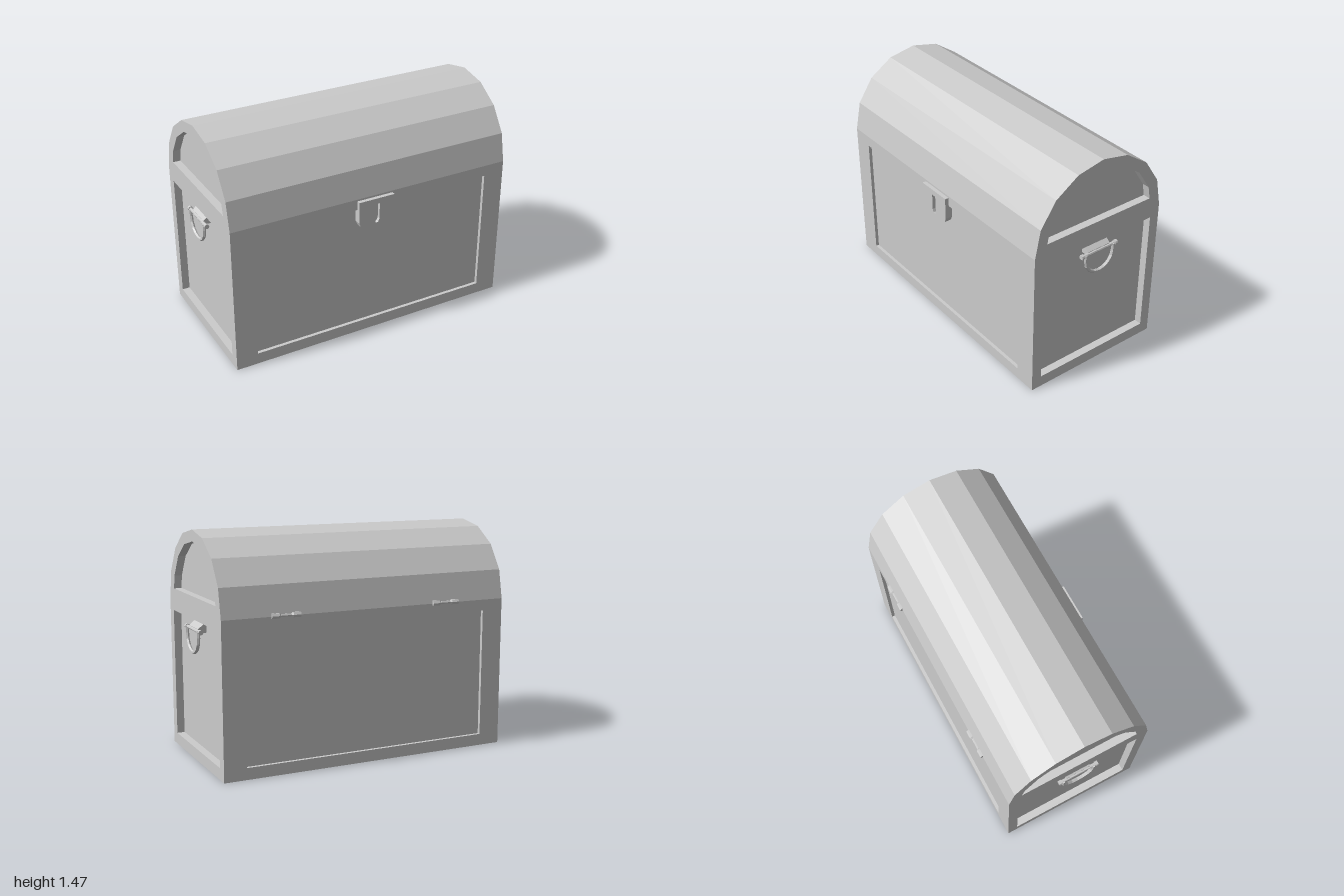
import * as THREE from 'three';
import { mergeGeometries } from 'three/addons/utils/BufferGeometryUtils.js';

const grey = new THREE.MeshStandardMaterial({ color: 0xcccccc, flatShading: true });
const HALF_X = 0.975, RADIUS = 0.488, RIM = 0.982, MID_Z = -0.006;

const vec = (list) => list.map(([x, y]) => new THREE.Vector2(x, y));
const rect = (x0, y0, x1, y1) => vec([[x0, y0], [x1, y0], [x1, y1], [x0, y1]]);

function add(parent, name, geometry, x = 0, y = 0, z = 0) {
  const mesh = new THREE.Mesh(geometry, grey);
  mesh.name = name;
  mesh.position.set(x, y, z);
  parent.add(mesh);
  return mesh;
}

// Half-circle points, from the right round to the left
const arc = (r, n = 8) => Array.from({ length: n + 1 }, (_, i) =>
  [r * Math.cos(i * Math.PI / n), RIM + r * Math.sin(i * Math.PI / n)]);

// Flat face (facing +z) with sunken panels; panels are counter-clockwise outlines
function panelledFace(outline, panels, depth) {
  const face = new THREE.Shape(outline);
  const parts = [];
  for (const panel of panels) {
    face.holes.push(new THREE.Path(panel));
    parts.push(new THREE.ShapeGeometry(new THREE.Shape(panel)).translate(0, 0, -depth).toNonIndexed());
    const walls = [];
    panel.forEach((a, i) => {
      const b = panel[(i + 1) % panel.length];
      walls.push(a.x, a.y, 0, b.x, b.y, 0, b.x, b.y, -depth);
      walls.push(a.x, a.y, 0, b.x, b.y, -depth, a.x, a.y, -depth);
    });
    const g = new THREE.BufferGeometry();
    g.setAttribute('position', new THREE.Float32BufferAttribute(walls, 3));
    parts.push(g);
  }
  parts.push(new THREE.ShapeGeometry(face).toNonIndexed());
  parts.forEach((g) => { g.deleteAttribute('uv'); g.computeVertexNormals(); });
  return mergeGeometries(parts);
}

function makeHandle() {
  const handle = new THREE.Group();
  // Sloping bracket rising out of the sunken side panel
  const bracket = new THREE.Shape(vec([[0.92, 0.84], [0.98, 0.84], [0.98, 0.866], [0.925, 0.91], [0.92, 0.91]]));
  add(handle, 'handleBracket', new THREE.ExtrudeGeometry(bracket, { depth: 0.17, bevelEnabled: false }), 0, 0, -0.085);
  // Bar with end caps
  add(handle, 'handleBar', new THREE.CylinderGeometry(0.011, 0.011, 0.27, 8).rotateX(Math.PI / 2), 0.98, 0.852, 0);
  for (const s of [-1, 1]) {
    add(handle, 'handleBarCap', new THREE.CylinderGeometry(0.016, 0.016, 0.02, 8).rotateX(Math.PI / 2), 0.98, 0.852, s * 0.13);
    add(handle, 'handleRingEnd', new THREE.CylinderGeometry(0.011, 0.011, 0.045, 6), 0.987, 0.835, s * 0.108);
  }
  // Hanging half ring
  const ring = new THREE.TorusGeometry(0.108, 0.012, 6, 8, Math.PI).rotateZ(Math.PI).rotateY(Math.PI / 2);
  add(handle, 'handleRing', ring, 0.987, 0.815, 0);
  return handle;
}

function makeLock() {
  const plate = new THREE.Shape(vec([
    [-0.125, 0.97], [-0.125, 0.825], [-0.114, 0.797], [-0.092, 0.778], [-0.06, 0.77],
    [0.06, 0.77], [0.092, 0.778], [0.114, 0.797], [0.125, 0.825], [0.125, 0.97]]));
  plate.holes.push(new THREE.Path(vec([
    [-0.019, 0.932], [0.019, 0.932], [0.019, 0.825], [0.01, 0.805], [0, 0.8], [-0.01, 0.805], [-0.019, 0.825]])));
  const lock = new THREE.Group();
  lock.name = 'lock';
  add(lock, 'lockPlate', new THREE.ExtrudeGeometry(plate, { depth: 0.05, bevelEnabled: false }), 0, 0, 0.458);
  add(lock, 'keyholeBack', new THREE.BoxGeometry(0.06, 0.15, 0.02), 0, 0.866, 0.476);
  return lock;
}

export function createModel() {
  const model = new THREE.Group();
  const chest = new THREE.Group();
  chest.name = 'chest';
  chest.position.z = MID_Z;
  model.add(chest);

  // Front and back walls with shallow panels
  const wall = panelledFace(rect(-HALF_X, 0, HALF_X, RIM), [rect(-0.83, 0.075, 0.83, 0.91)], 0.022);
  add(chest, 'frontWall', wall, 0, 0, RADIUS);
  add(chest, 'backWall', wall, 0, 0, -RADIUS).rotation.y = Math.PI;

  // End walls with a deep body panel and an arched lid panel
  const outline = vec([[-RADIUS, 0], [RADIUS, 0], ...arc(RADIUS)]);
  const lidPanel = vec([[0.4, 1.055], ...arc(0.415).slice(1, -1), [-0.4, 1.055]]);
  const end = panelledFace(outline, [rect(-0.42, 0.075, 0.42, 0.91), lidPanel], 0.05);
  add(chest, 'leftEnd', end, HALF_X).rotation.y = Math.PI / 2;
  add(chest, 'rightEnd', end, -HALF_X).rotation.y = -Math.PI / 2;

  // Faceted barrel lid and flat base
  const lid = new THREE.CylinderGeometry(RADIUS, RADIUS, HALF_X * 2, 8, 1, true, 0, Math.PI).rotateZ(Math.PI / 2);
  add(chest, 'lid', lid, 0, RIM);
  add(chest, 'base', new THREE.PlaneGeometry(HALF_X * 2, RADIUS * 2).rotateX(Math.PI / 2));

  // Handles on both ends
  for (const [name, angle] of [['leftHandle', 0], ['rightHandle', Math.PI]]) {
    const handle = makeHandle();
    handle.name = name;
    handle.rotation.y = angle;
    chest.add(handle);
  }

  model.add(makeLock());

  // Hinges: small barrels with a narrow waist
  const profile = vec([[0, -0.094], [0.018, -0.094], [0.018, -0.045], [0.01, -0.035],
    [0.01, 0.035], [0.018, 0.045], [0.018, 0.094], [0, 0.094]]);
  const hinge = new THREE.LatheGeometry(profile, 6).rotateZ(Math.PI / 2);
  add(model, 'rightHinge', hinge, -0.542, 0.985, -0.492);
  add(model, 'leftHinge', hinge, 0.565, 0.985, -0.492);
  return model;
}
